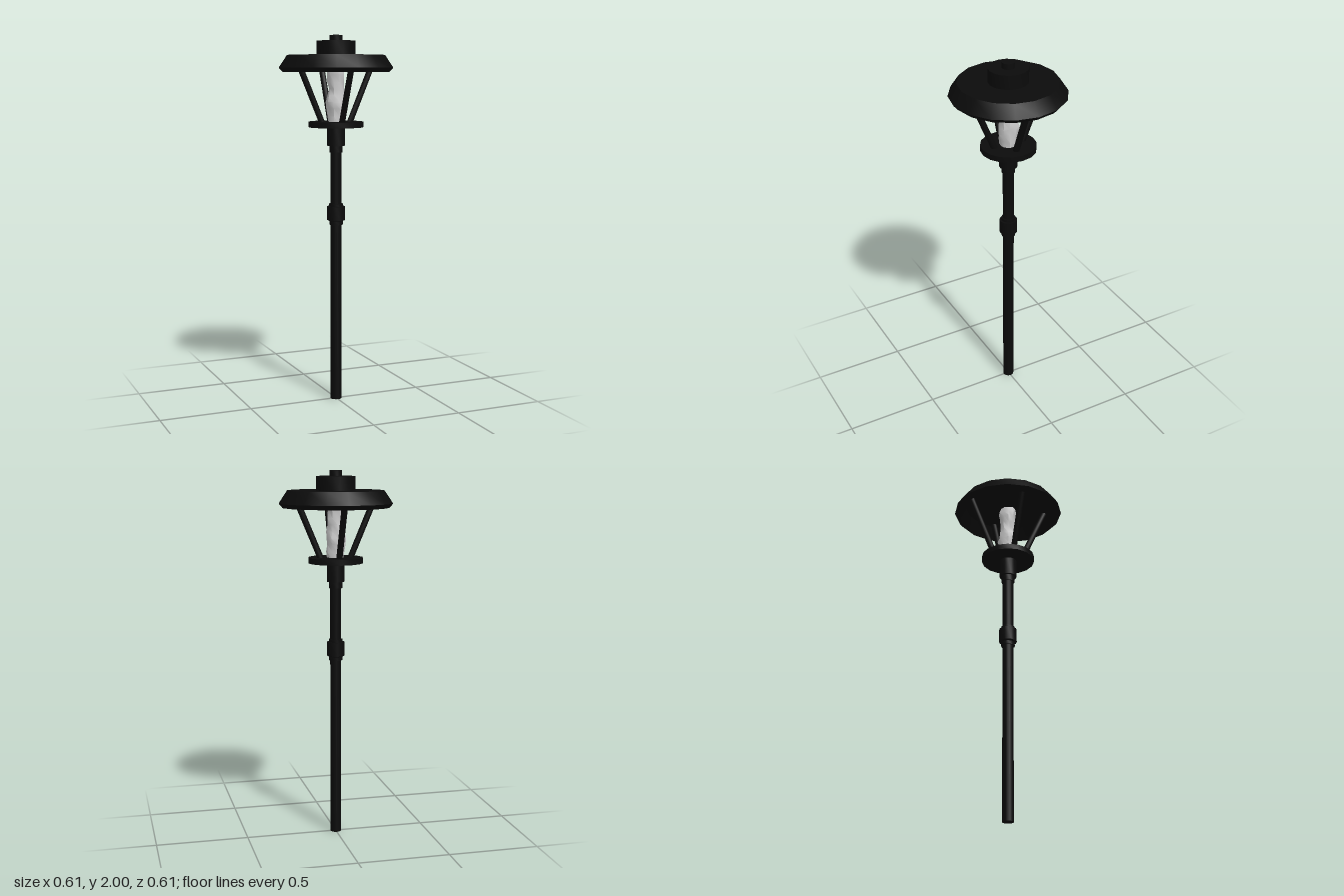
import * as THREE from 'three';
import { toCreasedNormals } from 'three/addons/utils/BufferGeometryUtils.js';

const iron = new THREE.MeshStandardMaterial({ color: 0x0b0b0b });
const glass = new THREE.MeshStandardMaterial({ color: 0xcccccc });

// Turned part from [radius, height] pairs listed bottom to top
function turned(name, points, sides = 16) {
  const profile = points.map(([r, y]) => new THREE.Vector2(r, y));
  const geometry = toCreasedNormals(new THREE.LatheGeometry(profile, sides), 0.6);
  const mesh = new THREE.Mesh(geometry, iron);
  mesh.name = name;
  return mesh;
}

// Round bar between two points
function bar(name, from, to, radius) {
  const along = to.clone().sub(from);
  const geometry = new THREE.CylinderGeometry(radius, radius, along.length(), 8);
  const mesh = new THREE.Mesh(toCreasedNormals(geometry, 0.9), iron);
  mesh.position.copy(from).add(to).multiplyScalar(0.5);
  mesh.quaternion.setFromUnitVectors(new THREE.Vector3(0, 1, 0), along.normalize());
  mesh.name = name;
  return mesh;
}

// Uneven, lumpy lamp: a lathe whose rings swell and shift
function createLamp() {
  const rings = [
    [0, 1.53], [0.045, 1.53], [0.047, 1.57], [0.05, 1.61], [0.054, 1.645], [0.046, 1.68],
    [0.042, 1.715], [0.045, 1.75], [0.045, 1.79], [0.049, 1.82], [0.04, 1.85], [0, 1.862],
  ];
  const profile = rings.map(([r, y]) => new THREE.Vector2(r, y));
  const geometry = new THREE.LatheGeometry(profile, 10);
  const p = geometry.attributes.position;
  for (let i = 0; i < p.count; i++) {
    const x = p.getX(i), y = p.getY(i), z = p.getZ(i);
    const angle = Math.atan2(z, x);
    const swell = 1 + 0.09 * Math.sin(3 * angle + y * 41) + 0.05 * Math.sin(2 * angle - y * 67);
    p.setXYZ(i, x * swell, y, z * swell);
  }
  const mesh = new THREE.Mesh(toCreasedNormals(geometry, 0.9), glass);
  mesh.name = 'lamp';
  return mesh;
}

export function createModel() {
  const model = new THREE.Group();
  model.name = 'streetLamp';

  // Post with its joint and neck
  model.add(
    turned('post', [[0, 0], [0.03, 0], [0.03, 1.39], [0, 1.39]]),
    turned('joint', [
      [0.028, 0.98], [0.037, 0.98], [0.037, 1.0], [0.048, 1.005], [0.048, 1.08],
      [0.037, 1.08], [0.037, 1.095], [0.028, 1.095],
    ]),
    turned('neck', [
      [0.028, 1.375], [0.036, 1.375], [0.036, 1.41], [0.048, 1.41], [0.048, 1.515], [0, 1.515],
    ]),
    turned('basePlate', [[0, 1.51], [0.148, 1.51], [0.148, 1.54], [0, 1.54]]),
  );

  // Four splayed struts carrying the roof
  const struts = new THREE.Group();
  struts.name = 'struts';
  for (let i = 0; i < 4; i++) {
    const a = (i * Math.PI) / 2;
    const at = (r, y) => new THREE.Vector3(r * Math.cos(a), y, r * Math.sin(a));
    struts.add(bar('strut', at(0.077, 1.525), at(0.225, 1.875), 0.017));
  }
  model.add(struts, createLamp());

  // Hollow roof, cap and finial
  model.add(
    turned('roof', [
      [0, 1.875], [0.245, 1.875], [0.28, 1.805], [0.287, 1.805],
      [0.307, 1.828], [0.262, 1.895], [0, 1.895],
    ]),
    turned('roofCap', [[0, 1.89], [0.105, 1.89], [0.105, 1.97], [0, 1.97]]),
    turned('finial', [[0, 1.965], [0.034, 1.965], [0.034, 2], [0, 2]]),
  );
  return model;
}
